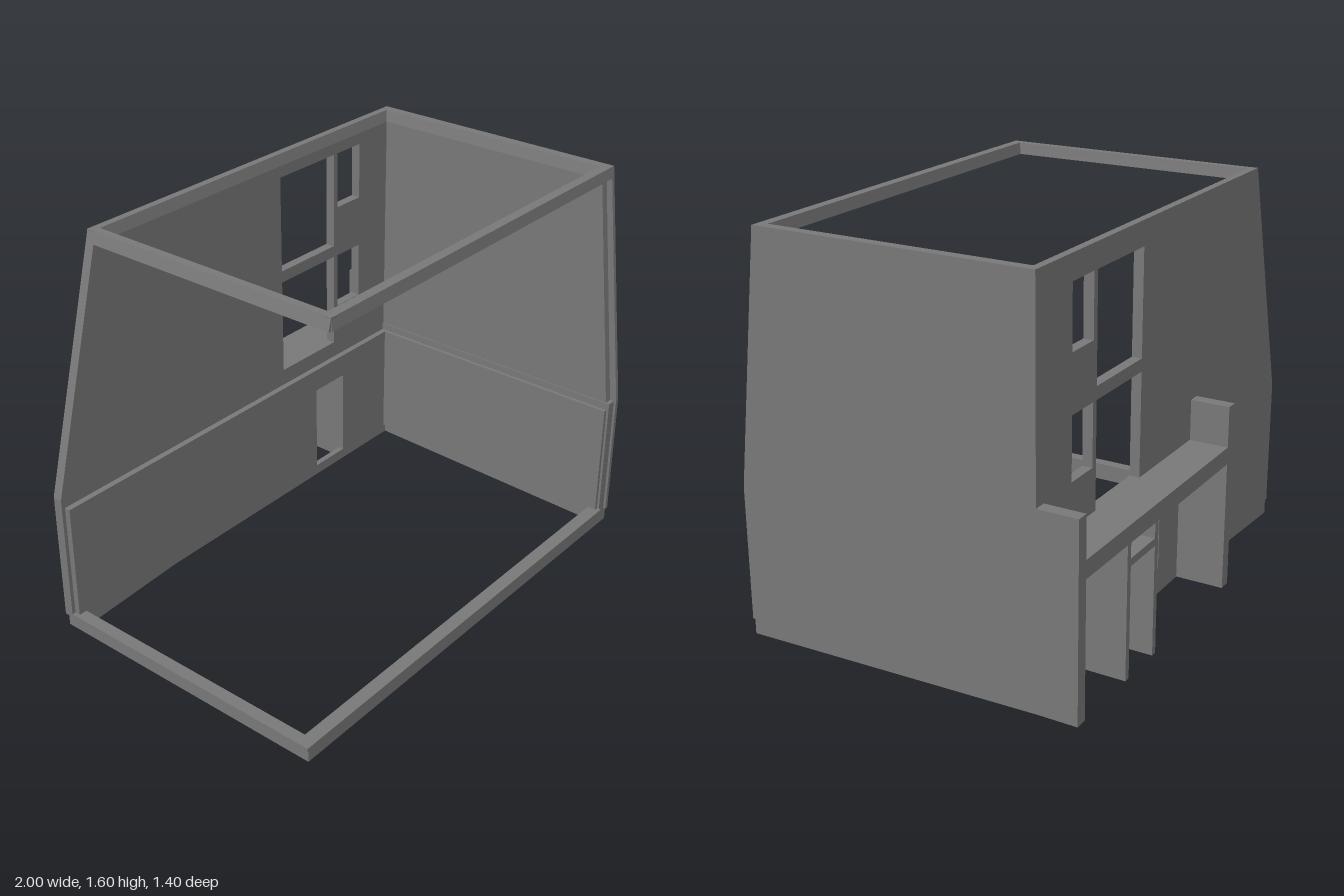
import * as THREE from 'three';

const mat = new THREE.MeshStandardMaterial({ color: 0x787878, flatShading: true });

export function createModel() {
  const model = new THREE.Group();

  const add = (name, geo) => {
    const mesh = new THREE.Mesh(geo, mat);
    mesh.name = name;
    model.add(mesh);
  };

  // Box given by its limits on each axis
  const box = (name, x0, x1, y0, y1, z0, z1) =>
    add(name, new THREE.BoxGeometry(x1 - x0, y1 - y0, z1 - z0)
      .translate((x0 + x1) / 2, (y0 + y1) / 2, (z0 + z1) / 2));

  // Flat slab from an outline, with rectangular holes [x0, x1, y0, y1]
  const slab = (points, depth, holes = []) => {
    const shape = new THREE.Shape(points.map(p => new THREE.Vector2(...p)));
    for (const [x0, x1, y0, y1] of holes) {
      shape.holes.push(new THREE.Path([[x0, y0], [x0, y1], [x1, y1], [x1, y0]]
        .map(p => new THREE.Vector2(...p))));
    }
    return new THREE.ExtrudeGeometry(shape, { depth, bevelEnabled: false });
  };
  // Slab facing z, starting at z0
  const slabZ = (name, points, z0, z1, holes) =>
    add(name, slab(points, z1 - z0, holes).translate(0, 0, z0));
  // Slab facing x, its outline given as (z, y)
  const slabX = (name, points, x0, x1) =>
    add(name, slab(points, x1 - x0).rotateY(-Math.PI / 2).translate(x1, 0, 0));

  // Openings of the back wall and its ground floor lining
  const windows = [
    [0.26, 0.595, 1.09, 1.5], [0.62, 0.765, 1.26, 1.5],
    [0.26, 0.595, 0.63, 1.04], [0.62, 0.765, 0.8, 1.04],
  ];
  const door = [0.445, 0.63, 0.075, 0.46];
  const blindWindows = [[0.0, 0.37, 0.14, 0.5], [0.67, 0.9, 0.14, 0.5]];

  // Back wall with one raking edge, cut away below the balcony
  slabZ('backWall',
    [[-0.985, 0], [-0.46, 0.03], [-0.17, 0.03], [-0.17, 0.56], [0.95, 0.56], [0.95, 0.03],
      [1, 0.03], [1, 1.548], [-0.74, 1.548], [-1, 0.6], [-1, 0.06], [-0.985, 0.06]],
    -0.54, -0.5, windows);

  // Ground floor lining inside both walls
  slabZ('backLining',
    [[-0.985, 0], [-0.46, 0.03], [0.945, 0.03], [0.945, 0.56], [-0.985, 0.56]],
    -0.5, -0.475, [door, ...blindWindows]);
  blindWindows.forEach(([x0, x1, y0, y1]) =>
    box('blindWindowPanel', x0, x1, y0, y1, -0.49, -0.475));
  box('sideLining', 0.93, 0.945, 0.07, 0.56, -0.475, 0.68);

  // Solid side wall: raking outer skin, inner leaf set back, ground floor ledge
  slabX('sideWallSkin',
    [[0.69, 0], [0.69, 0.06], [0.7, 0.06], [0.7, 0.6], [0.581, 1.595], [-0.54, 1.595], [-0.54, 0.03]],
    0.983, 1);
  slabX('sideWallInnerLeaf',
    [[0.672, 0.59], [0.562, 1.548], [-0.51, 1.548], [-0.51, 0.59]], 0.95, 0.983);
  slabX('sideWallLedge', [[0.69, 0], [0.69, 0.59], [-0.5, 0.59], [-0.5, 0.03]], 0.945, 0.983);

  // Roof edge frame: raking outer faces, slightly sloped inner faces
  slabX('roofFrontRail', [[0.535, 1.548], [0.587, 1.548], [0.581, 1.595], [0.542, 1.595]], -0.728, 0.983);
  slabZ('roofRightRail', [[-0.74, 1.548], [-0.69, 1.548], [-0.695, 1.595], [-0.727, 1.595]], -0.54, 0.582);
  slabX('roofBackRail', [[-0.54, 1.548], [-0.5, 1.548], [-0.51, 1.595], [-0.54, 1.595]], -0.728, 0.983);
  slabZ('roofLeftRail', [[0.95, 1.548], [0.983, 1.548], [0.983, 1.595], [0.96, 1.595]], -0.54, 0.581);

  // Base rails with a projecting lip
  box('baseFrontRail', -0.985, 0.98, 0, 0.06, 0.645, 0.69);
  box('baseFrontLip', -1, 0.945, 0.06, 0.075, 0.645, 0.7);
  box('baseRightRail', -0.985, -0.95, 0, 0.06, -0.5, 0.66);
  box('baseRightLip', -1, -0.95, 0.06, 0.075, -0.5, 0.66);

  // Rear balcony: end piers, deck, door partitions and canopy
  for (const x of [-0.22, 0.95]) box('balconyPier', x, x + 0.05, 0.03, 0.795, -0.7, -0.5);
  box('balconyDeck', -0.17, 0.95, 0.56, 0.63, -0.7, -0.54);
  for (const x of [0.42, 0.63]) box('doorPartition', x, x + 0.025, 0.03, 0.56, -0.7, -0.5);
  box('doorCanopy', 0.445, 0.63, 0.47, 0.5, -0.7, -0.5);

  return model;
}
